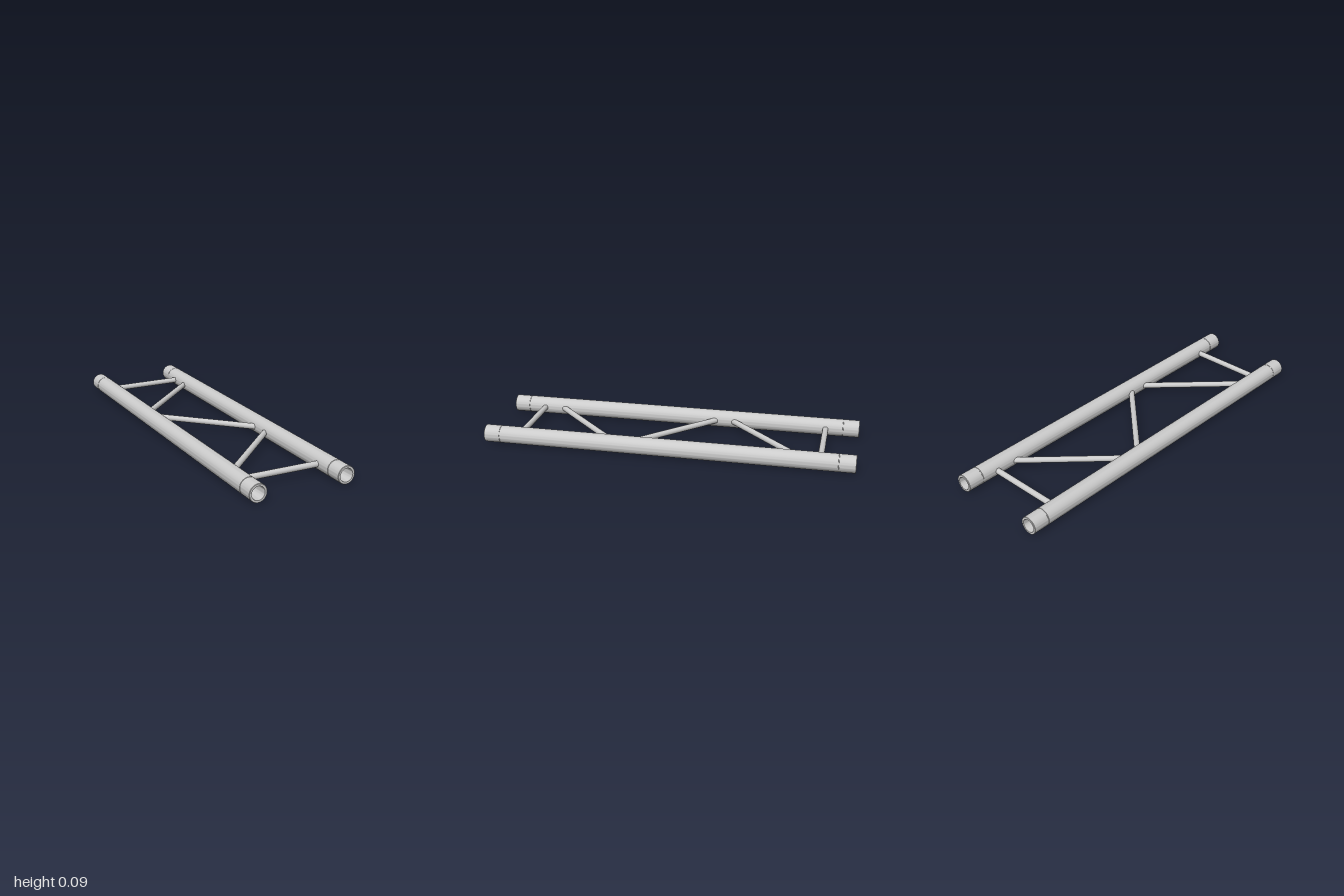
import * as THREE from 'three';
import { toCreasedNormals } from 'three/addons/utils/BufferGeometryUtils.js';

const R = 0.0475;      // chord radius
const CHORD_X = 0.24;  // chord offset from the centre line
const BRACE_R = 0.016;

export function createModel() {
  const group = new THREE.Group();
  group.name = 'ladderTruss';
  const material = new THREE.MeshStandardMaterial({ color: 0xcccccc });

  // Chord profile: tapered socket, bevelled rim, end collar and fine seam, mirrored along the length
  const end = [
    [0, -0.91], [0.03, -0.91], [0.035, -1], [0.0455, -1], [R - 0.0003, -0.998],
    [R - 0.0003, -0.913], [R - 0.0015, -0.912], [R - 0.0015, -0.91], [R, -0.909],
  ];
  const profile = [...end, ...end.map(([r, y]) => [r, -y]).reverse()]
    .map(([r, y]) => new THREE.Vector2(r, y));
  const chordGeometry = toCreasedNormals(new THREE.LatheGeometry(profile, 48), 0.5);
  chordGeometry.rotateX(Math.PI / 2);

  for (const side of [1, -1]) {
    const chord = new THREE.Mesh(chordGeometry, material);
    chord.name = side > 0 ? 'leftChord' : 'rightChord';
    chord.position.set(side * CHORD_X, R, 0);
    group.add(chord);
  }

  // A round bar spanning the chords, from z0 on the -x side to z1 on the +x side
  const addBrace = (name, z0, z1) => {
    const a = new THREE.Vector3(-0.225, R, z0);
    const b = new THREE.Vector3(0.225, R, z1);
    const dir = b.clone().sub(a);
    const bar = new THREE.Mesh(
      new THREE.CylinderGeometry(BRACE_R, BRACE_R, dir.length(), 24), material);
    bar.name = name;
    bar.position.copy(a).add(b).multiplyScalar(0.5);
    bar.quaternion.setFromUnitVectors(new THREE.Vector3(0, 1, 0), dir.normalize());
    group.add(bar);
  };

  // Straight rungs near both ends
  addBrace('frontRung', 0.815, 0.815);
  addBrace('backRung', -0.815, -0.815);

  // Zigzag diagonals
  const d = 0.22;
  addBrace('backDiagonal', -0.5 + d, -0.5 - d);
  addBrace('middleDiagonal', -d, d);
  addBrace('frontDiagonal', 0.5 + d, 0.5 - d);

  return group;
}
